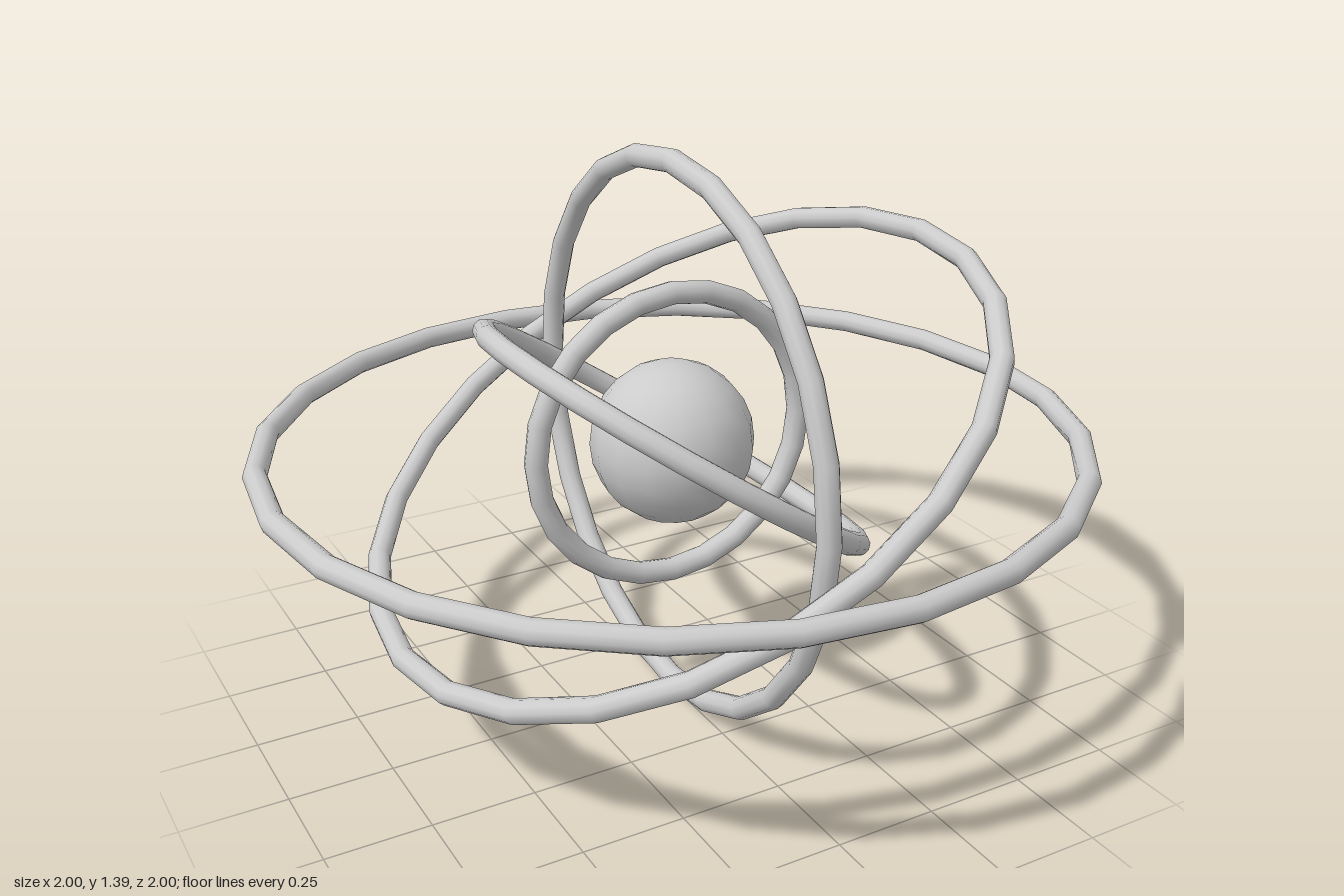
import * as THREE from 'three';

const CENTER_Y = 0.7;
const TUBE = 0.028;

export function createModel() {
  const model = new THREE.Group();
  const material = new THREE.MeshStandardMaterial({ color: 0xcccccc });

  const add = (name, geometry, y) => {
    const mesh = new THREE.Mesh(geometry, material);
    mesh.name = name;
    mesh.position.y = y;
    model.add(mesh);
    return mesh;
  };

  // Central globe, sitting a touch below the ring centre
  add('globe', new THREE.SphereGeometry(0.198, 16, 12), 0.688);

  // Concentric rings: name, radius, turn about x, then tilt about z
  const flat = Math.PI / 2;
  const rings = [
    ['horizonRing', 0.97, flat, 0],
    ['wideTiltedRing', 0.815, flat, Math.PI / 6],
    ['sideRing', 0.665, flat, Math.PI / 2],
    ['smallTiltedRing', 0.51, flat, -0.6],
    ['frontRing', 0.357, 0, 0],
  ];
  for (const [name, radius, turn, tilt] of rings) {
    const geometry = new THREE.TorusGeometry(radius, TUBE, 10, 24);
    geometry.rotateX(turn).rotateZ(tilt);
    add(name, geometry, CENTER_Y);
  }

  return model;
}
